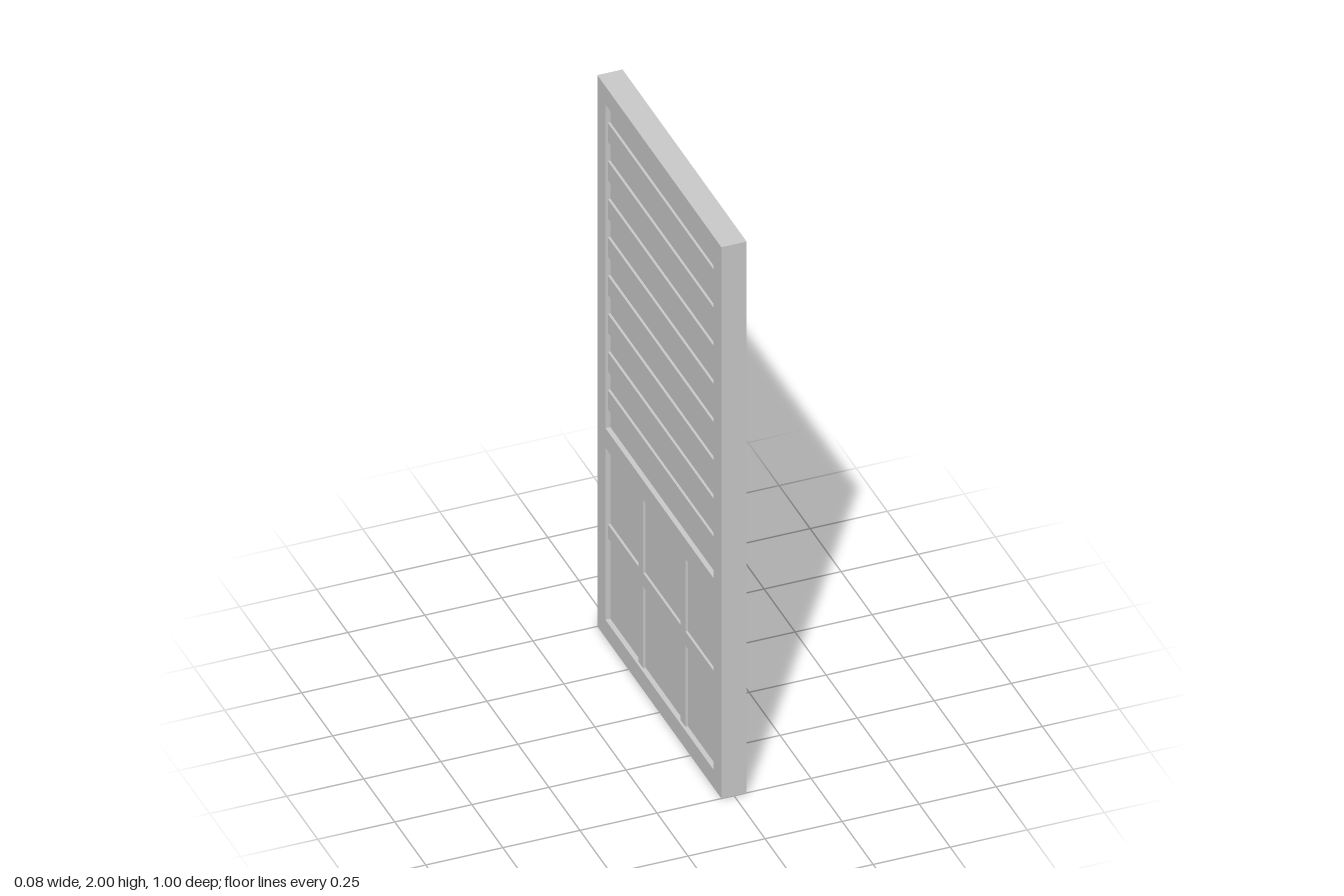
import * as THREE from 'three';

const HALF = 0.041;      // half thickness of the door
const IN = 0.435;        // half width of the opening inside the frame
const BOTTOM = 0.065, TOP = 1.935;
const RECESS = 0.016;    // depth of the field behind the frame face
const RAISE = 0.008;     // how far slats and bars stand out of the field
const BAND = (TOP - BOTTOM) / 27;

const material = new THREE.MeshStandardMaterial({ color: 0xcccccc, flatShading: true });

// box given by its limits on each axis
function block(parent, name, x0, x1, y0, y1, z0, z1) {
  const mesh = new THREE.Mesh(new THREE.BoxGeometry(x1 - x0, y1 - y0, z1 - z0), material);
  mesh.position.set((x0 + x1) / 2, (y0 + y1) / 2, (z0 + z1) / 2);
  mesh.name = name;
  parent.add(mesh);
}

// raised strip on one face: side is +1 or -1 along x
function strip(parent, name, side, y0, y1, z0, z1, height = RAISE) {
  const a = side * (HALF - RECESS - 0.004);
  const b = side * (HALF - RECESS + height);
  block(parent, name, Math.min(a, b), Math.max(a, b), y0, y1, z0, z1);
}

// every second band carries a slat, counted down from the top rail
function slats(parent, side, count) {
  for (let i = 0; i < count; i++) {
    const y1 = TOP - BAND * (2 * i + 1);
    strip(parent, 'slat', side, y1 - BAND, y1, -IN, IN);
  }
}

export function createModel() {
  const door = new THREE.Group();
  door.name = 'louveredDoor';

  // outer frame as one extruded piece with an opening
  const outline = new THREE.Shape([[-0.5, 0], [0.5, 0], [0.5, 2], [-0.5, 2]]
    .map(([u, v]) => new THREE.Vector2(u, v)));
  outline.holes.push(new THREE.Path([[-IN, BOTTOM], [-IN, TOP], [IN, TOP], [IN, BOTTOM]]
    .map(([u, v]) => new THREE.Vector2(u, v))));
  const frameGeometry = new THREE.ExtrudeGeometry(outline, { depth: 2 * HALF, bevelEnabled: false });
  frameGeometry.translate(0, 0, -HALF);
  frameGeometry.rotateY(Math.PI / 2);
  const frame = new THREE.Mesh(frameGeometry, material);
  frame.name = 'frame';
  door.add(frame);

  // recessed field filling the opening
  block(door, 'field', -HALF + RECESS, HALF - RECESS, BOTTOM, TOP, -IN, IN);

  // left face: slats over the full height
  const leftSlats = new THREE.Group();
  leftSlats.name = 'leftSlats';
  slats(leftSlats, 1, 13);
  door.add(leftSlats);

  // right face: slats above, a rail, and six panels below
  const rightSlats = new THREE.Group();
  rightSlats.name = 'rightSlats';
  slats(rightSlats, -1, 8);
  door.add(rightSlats);

  const panelling = new THREE.Group();
  panelling.name = 'panelling';
  strip(panelling, 'lockRail', -1, 0.69, 0.76, -IN, IN, RECESS);
  strip(panelling, 'middleRail', -1, 0.36, 0.41, -IN, IN);
  for (const z of [-0.17, 0.17]) {
    strip(panelling, 'lowerMullion', -1, BOTTOM, 0.36, z - 0.02, z + 0.02);
    strip(panelling, 'upperMullion', -1, 0.41, 0.69, z - 0.02, z + 0.02);
  }
  door.add(panelling);

  return door;
}
